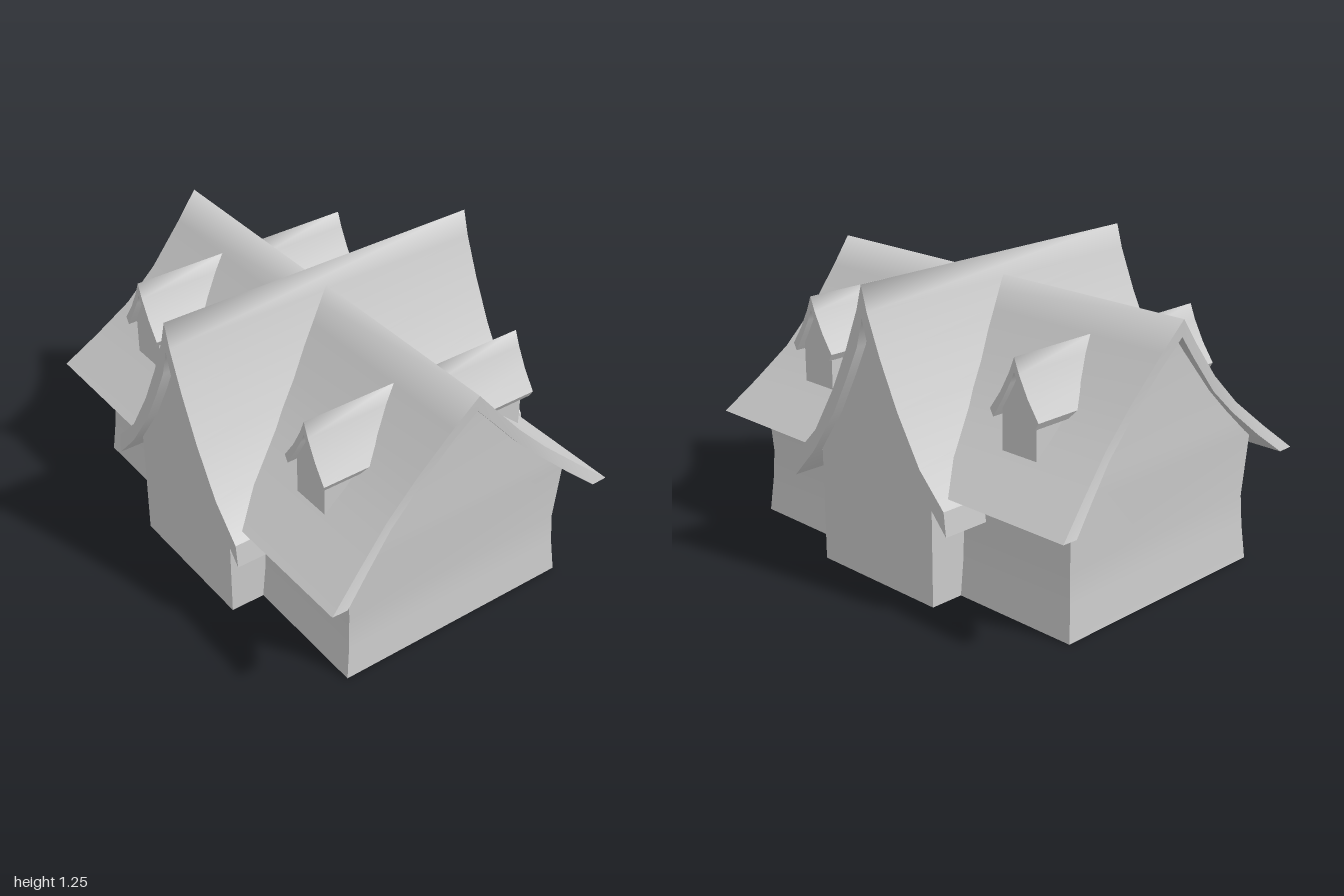
import * as THREE from 'three';
import { mergeGeometries } from 'three/addons/utils/BufferGeometryUtils.js';

const material = new THREE.MeshStandardMaterial({ color: 0xcccccc });

// Smooth strip of quads between two polylines of equal length
function loft(a, b) {
  const n = a.length, index = [];
  for (let i = 0; i < n - 1; i++) index.push(i, i + 1, n + i, i + 1, n + i + 1, n + i);
  const g = new THREE.BufferGeometry();
  g.setAttribute('position', new THREE.Float32BufferAttribute([...a, ...b].flat(), 3));
  g.setIndex(index);
  g.computeVertexNormals();
  return g;
}

// Half profile points are [x, y, half length along z]
const at = (pts, sx, sz) => pts.map(([x, y, l]) => [x * sx, y, l * sz]);
const fullSpan = (half, sz) => [...at(half.slice(1), -1, sz).reverse(), ...at(half, 1, sz)];

// Thick curved roof: half profiles run from the ridge to the eave
function roof(outer, inner) {
  const of = fullSpan(outer, 1), ob = fullSpan(outer, -1);
  const nf = fullSpan(inner, 1), nb = fullSpan(inner, -1);
  const e = of.length - 1;
  return mergeGeometries([
    loft(of, ob), loft(nb, nf),
    loft(nf, of), loft(ob, nb),
    loft([of[e], nf[e]], [ob[e], nb[e]]),
    loft([nf[0], of[0]], [nb[0], ob[0]]),
  ]);
}

// Solid gabled block: wall points run up from the ground, gable points up to the apex
function gabledBlock(wall, gable) {
  const all = [...wall, ...gable], top = [wall[wall.length - 1], ...gable];
  const base = wall[0];
  const side = (pts, sx) => sx > 0
    ? loft(at(pts, 1, -1), at(pts, 1, 1))
    : loft(at(pts, -1, 1), at(pts, -1, -1));
  return mergeGeometries([
    loft(at(all, 1, 1), at(all, -1, 1)),
    loft(at(all, -1, -1), at(all, 1, -1)),
    side(wall, 1), side(wall, -1), side(top, 1), side(top, -1),
    loft([...at([base], -1, -1), ...at([base], 1, -1)], [...at([base], -1, 1), ...at([base], 1, 1)]),
  ]);
}

const withLength = (pts, l) => pts.map(([x, y]) => [x, y, l]);

function part(name, geometry) {
  const mesh = new THREE.Mesh(geometry, material);
  mesh.name = name;
  return mesh;
}

export function createModel() {
  const house = new THREE.Group();
  house.name = 'house';

  // Main block, its ridge running left to right
  const mainWalls = gabledBlock(
    [[0.54, 0, 0.905], [0.525, 0.15, 0.893], [0.52, 0.28, 0.885], [0.535, 0.55, 0.9]],
    [[0.45, 0.63, 0.9], [0.3, 0.77, 0.9], [0.1, 0.99, 0.905], [0, 1.1, 0.915]]);
  mainWalls.rotateY(Math.PI / 2);
  house.add(part('mainWalls', mainWalls));

  // Main roof with ends that flare at the ridge and eaves
  const mainRoof = roof(
    [[0, 1.155, 0.96], [0.1, 1.04, 0.942], [0.25, 0.87, 0.925], [0.39, 0.73, 0.93], [0.54, 0.6, 0.963], [0.685, 0.48, 1]],
    [[0, 1.085, 0.955], [0.1, 0.975, 0.937], [0.25, 0.805, 0.923], [0.37, 0.69, 0.932], [0.5, 0.573, 0.965], [0.615, 0.478, 1]]);
  mainRoof.rotateY(Math.PI / 2);
  house.add(part('mainRoof', mainRoof));

  // Cross wing with steep gables at front and back
  house.add(part('crossWingWalls', gabledBlock(
    withLength([[0.325, 0], [0.325, 0.5]], 0.69),
    withLength([[0.18, 0.715], [0.1, 0.87], [0.04, 1.0], [0, 1.125]], 0.69))));
  house.add(part('crossWingRoof', roof(
    withLength([[0, 1.245], [0.03, 1.14], [0.1, 0.97], [0.19, 0.785], [0.31, 0.585], [0.44, 0.45]], 0.735),
    withLength([[0, 1.11], [0.035, 0.99], [0.1, 0.855], [0.19, 0.685], [0.325, 0.49], [0.452, 0.35]], 0.735))));

  // Four dormers, two on each slope of the main roof
  const dormerWalls = gabledBlock(
    withLength([[0.088, 0.645], [0.088, 0.83]], 0.19),
    withLength([[0.045, 0.91], [0, 0.995]], 0.19));
  dormerWalls.translate(0, 0, 0.295);
  const dormerRoof = roof(
    withLength([[0, 1.042], [0.025, 0.98], [0.07, 0.895], [0.125, 0.815]], 0.215),
    withLength([[0, 0.984], [0.022, 0.935], [0.06, 0.865], [0.108, 0.785]], 0.215));
  dormerRoof.translate(0, 0, 0.3);
  for (const turn of [0, Math.PI]) {
    for (const x of [-0.59, 0.59]) {
      const dormer = new THREE.Group();
      dormer.name = (turn ? 'back' : 'front') + (x > 0 ? 'Left' : 'Right') + 'Dormer';
      dormer.add(part('dormerWalls', dormerWalls), part('dormerRoof', dormerRoof));
      dormer.position.x = x;
      dormer.rotation.y = turn;
      house.add(dormer);
    }
  }
  return house;
}
